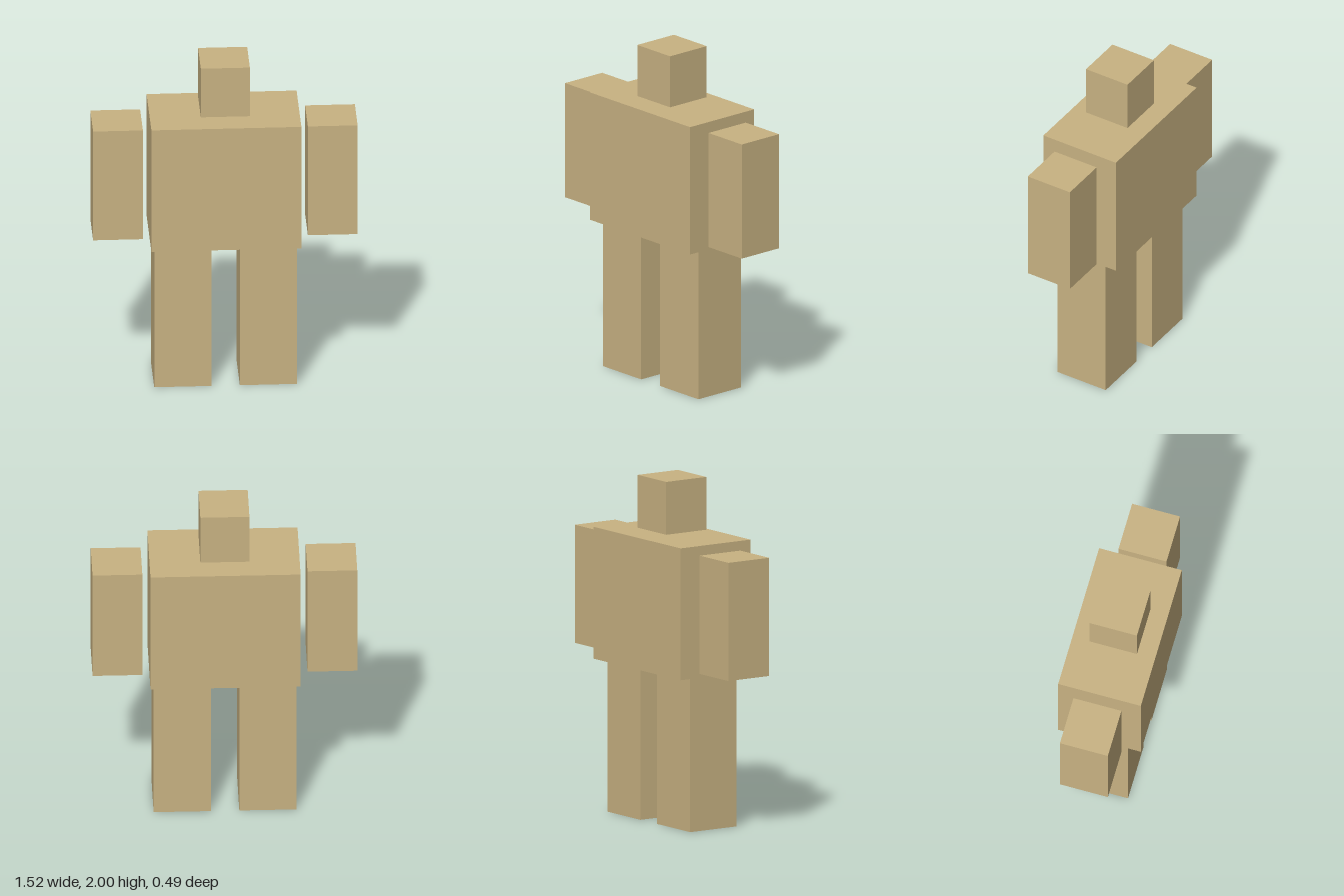
import * as THREE from 'three';

export function createModel() {
  const group = new THREE.Group();
  const tan = new THREE.MeshStandardMaterial({ color: 0xc8b282 });
  tan.name = 'tan';

  // Box standing on yMin, centred on z = 0
  function block(name, width, depth, yMin, yMax, x = 0) {
    const mesh = new THREE.Mesh(new THREE.BoxGeometry(width, yMax - yMin, depth), tan);
    mesh.name = name;
    mesh.position.set(x, (yMin + yMax) / 2, 0);
    group.add(mesh);
  }

  block('head', 0.282, 0.282, 1.692, 2);
  block('torso', 0.862, 0.493, 0.897, 1.666);

  // Mirrored limbs
  for (const [side, s] of [['left', 1], ['right', -1]]) {
    block(side + 'Arm', 0.286, 0.286, 0.93, 1.619, s * 0.617);
    block(side + 'Leg', 0.328, 0.328, 0, 0.897, s * 0.246);
  }
  return group;
}
